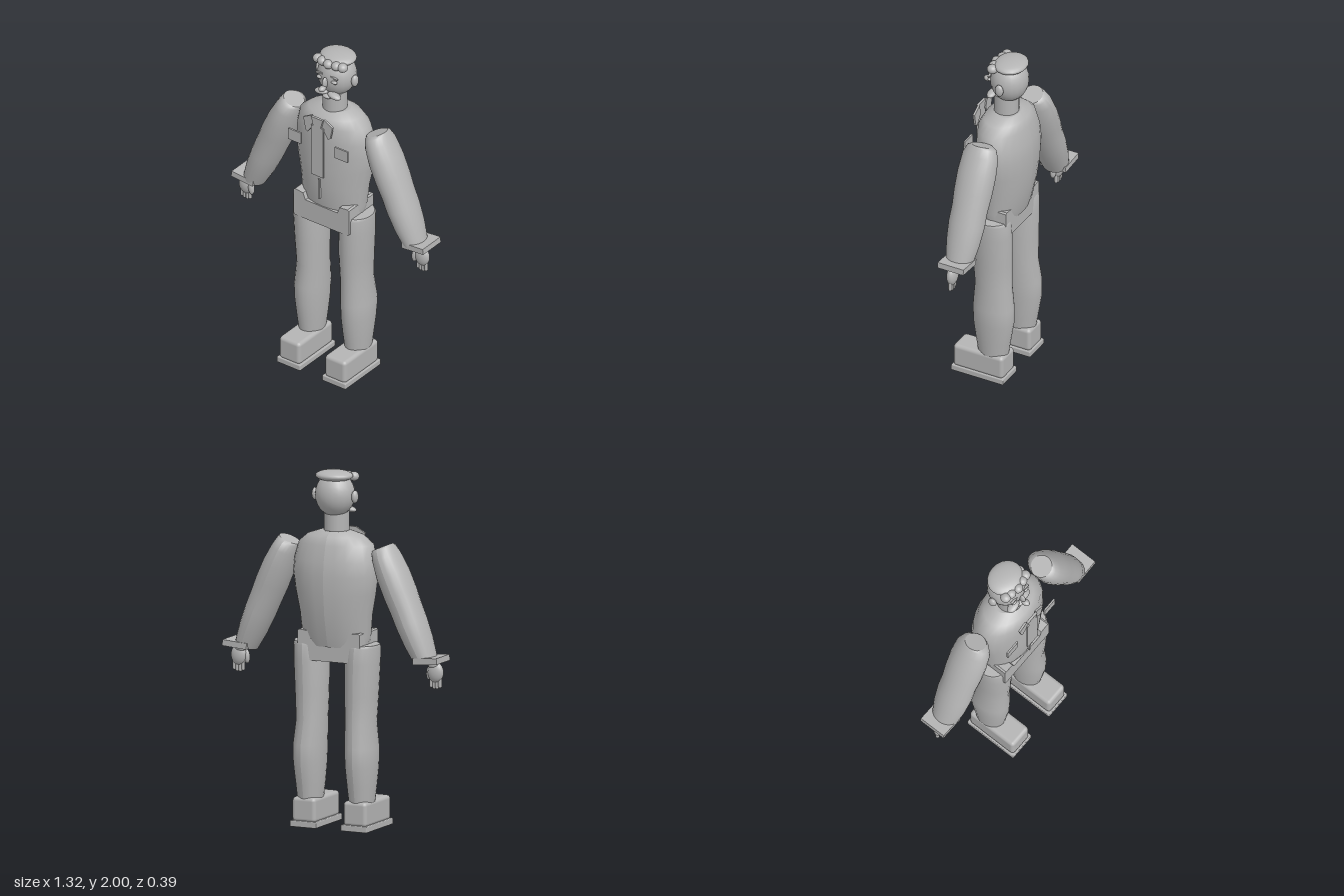
import * as THREE from 'three';
import { RoundedBoxGeometry } from 'three/addons/geometries/RoundedBoxGeometry.js';

const grey = new THREE.MeshStandardMaterial({ color: 0xb4b4b4 });
grey.name = 'plain grey';

// Closed body from elliptical rings, listed top to bottom: [y, cx, cz, rx, rz]
function loft(rings, sides = 24) {
  const n = rings.length - 1;
  const geo = new THREE.CylinderGeometry(1, 1, 1, sides, n, false, Math.PI);
  const p = geo.attributes.position;
  for (let i = 0; i < p.count; i++) {
    const [y, cx, cz, rx, rz] = rings[Math.round((0.5 - p.getY(i)) * n)];
    p.setXYZ(i, cx + p.getX(i) * rx, y, cz + p.getZ(i) * rz);
  }
  geo.computeVertexNormals();
  return geo;
}

// Flat outline in x and y with a thickness along z
function plate(points, depth) {
  const shape = new THREE.Shape(points.map(([x, y]) => new THREE.Vector2(x, y)));
  return new THREE.ExtrudeGeometry(shape, { depth, bevelEnabled: false });
}

export function createModel() {
  const model = new THREE.Group();
  model.name = 'figure';

  function add(name, geo, x = 0, y = 0, z = 0, parent = model) {
    const mesh = new THREE.Mesh(geo, grey);
    mesh.name = name;
    mesh.position.set(x, y, z);
    parent.add(mesh);
    return mesh;
  }
  const ball = (name, x, y, z, rx, ry, rz) =>
    add(name, new THREE.SphereGeometry(1, 20, 14).scale(rx, ry, rz), x, y, z);
  const box = (name, x, y, z, w, h, d) => add(name, new THREE.BoxGeometry(w, h, d), x, y, z);

  // Torso and neck
  add('torso', loft([
    [1.66, 0, -0.035, 0.09, 0.07],
    [1.635, 0, -0.03, 0.165, 0.115],
    [1.59, 0, -0.027, 0.22, 0.137],
    [1.5, 0, -0.035, 0.243, 0.15],
    [1.42, 0, -0.038, 0.25, 0.154],
    [1.32, 0, -0.036, 0.236, 0.153],
    [1.2, 0, -0.031, 0.212, 0.146],
    [1.08, 0, -0.026, 0.203, 0.125],
    [1.02, 0, -0.024, 0.19, 0.11],
  ]));
  add('neck', new THREE.CylinderGeometry(0.07, 0.07, 0.13, 24), 0, 1.705, -0.025);

  // Hips with raised ends
  add('hips', plate([
    [-0.19, 0.945], [-0.18, 0.937], [0.18, 0.937], [0.19, 0.945], [0.19, 1.1], [0.18, 1.107],
    [0.125, 1.1], [0.11, 1.06], [-0.11, 1.06], [-0.125, 1.1], [-0.18, 1.107], [-0.19, 1.1],
  ], 0.225), 0, 0, -0.125);

  // Head, hair and face
  ball('head', 0, 1.862, -0.045, 0.112, 0.125, 0.106);
  ball('hair', 0, 1.967, -0.055, 0.108, 0.032, 0.092);
  for (const x of [-0.085, -0.048, 0, 0.048, 0.085])
    ball('curl', x, 1.957, 0.035 - Math.abs(x) * 0.2, 0.029, 0.026, 0.03);
  ball('nose', 0, 1.85, 0.068, 0.013, 0.036, 0.02);
  ball('noseTip', 0, 1.825, 0.09, 0.019, 0.017, 0.026);
  ball('lip', 0, 1.757, 0.045, 0.03, 0.014, 0.024);
  for (const s of [-1, 1]) {
    ball('ear', s * 0.122, 1.855, -0.045, 0.018, 0.036, 0.025);
    ball('eye', s * 0.05, 1.863, 0.05, 0.02, 0.01, 0.012);
    box('eyebrow', s * 0.05, 1.89, 0.05, 0.045, 0.009, 0.012).rotation.z = -s * 0.15;
    ball('moustache', s * 0.045, 1.769, 0.04, 0.043, 0.017, 0.026).rotation.z = -s * 0.15;
  }

  // Tie, placket, collar and pockets
  box('tie', 0, 1.44, 0.135, 0.084, 0.32, 0.01);
  add('tieKnot', plate([[-0.024, 1.595], [0.024, 1.595], [0.04, 1.655], [-0.04, 1.655]], 0.014), 0, 0, 0.127);
  box('placket', 0, 1.187, 0.118, 0.012, 0.125, 0.012);
  const flap = [[0.1, 1.625], [0.042, 1.657], [0.028, 1.6], [0.07, 1.54], [0.085, 1.55]];
  for (const s of [-1, 1]) {
    add('collar', plate(flap.map(([x, y]) => [s * x, y]), 0.012), 0, 0, 0.12);
    box('pocket', s * 0.16, 1.475, 0.128, 0.088, 0.07, 0.01);
  }

  // Limbs
  const armRings = [
    [0, 0, 0, 0.062, 0.06],
    [-0.012, 0, 0, 0.066, 0.085],
    [-0.06, 0, 0, 0.076, 0.105],
    [-0.16, 0, 0, 0.089, 0.112],
    [-0.27, 0, 0, 0.091, 0.11],
    [-0.36, 0, 0, 0.088, 0.103],
    [-0.45, 0, 0, 0.086, 0.105],
    [-0.56, 0, 0, 0.079, 0.096],
    [-0.665, 0, 0, 0.064, 0.078],
  ];
  const legRings = [
    [1.035, 0.16, -0.02, 0.09, 0.1],
    [1.02, 0.16, -0.02, 0.093, 0.112],
    [0.93, 0.156, -0.02, 0.095, 0.117],
    [0.75, 0.152, -0.022, 0.09, 0.113],
    [0.6, 0.15, -0.027, 0.084, 0.108],
    [0.46, 0.158, -0.032, 0.09, 0.121],
    [0.36, 0.159, -0.032, 0.087, 0.12],
    [0.24, 0.158, -0.03, 0.077, 0.102],
    [0.15, 0.158, -0.03, 0.068, 0.088],
  ];
  for (const s of [-1, 1]) {
    // Arm with cuff
    add('arm', loft(armRings), s * 0.285, 1.587, -0.03).rotation.z = s * 0.41;
    box('cuff', s * 0.585, 0.984, -0.034, 0.148, 0.034, 0.162).rotation.z = s * 0.08;

    // Hand
    ball('wrist', s * 0.595, 0.955, -0.018, 0.035, 0.03, 0.028);
    ball('palm', s * 0.605, 0.912, -0.018, 0.047, 0.058, 0.029);
    ball('thumb', s * 0.562, 0.905, -0.008, 0.018, 0.04, 0.018).rotation.z = -s * 0.1;
    for (let i = 0; i < 4; i++) {
      const drop = i === 0 || i === 3 ? 0.007 : 0;
      add('finger', new THREE.CapsuleGeometry(0.0105, 0.04, 4, 10), s * (0.578 + i * 0.018), 0.848 + drop, -0.018);
    }

    // Leg and shoe
    add('leg', loft(legRings.map(([y, x, z, rx, rz]) => [y, s * x, z, rx, rz])));
    add('shoe', new RoundedBoxGeometry(0.144, 0.14, 0.312, 2, 0.022), s * 0.157, 0.097, 0.032);
    add('sole', new RoundedBoxGeometry(0.162, 0.036, 0.326, 1, 0.006), s * 0.156, 0.018, 0.032);
  }
  return model;
}
